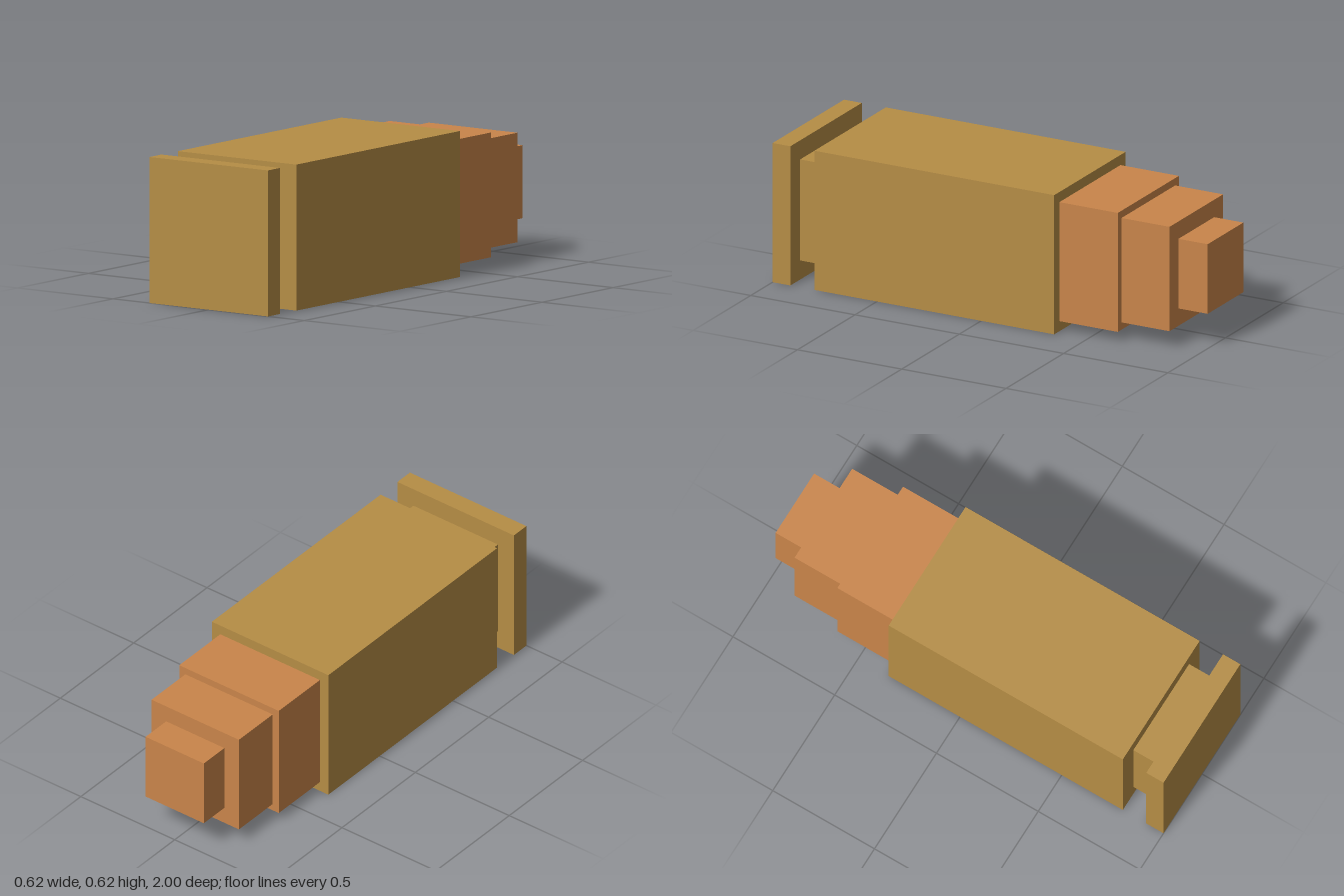
import * as THREE from 'three';

export function createModel() {
  const group = new THREE.Group();
  const brass = new THREE.MeshStandardMaterial({ color: 0xb58d45 });
  brass.name = 'brass';
  const copper = new THREE.MeshStandardMaterial({ color: 0xc9854a });
  copper.name = 'copper';

  // Square blocks along z: name, side, front z, back z, material
  const sections = [
    ['rim', 0.62, 1.0, 0.915, brass],
    ['groove', 0.45, 0.915, 0.8, brass],
    ['casing', 0.62, 0.8, -0.35, brass],
    ['tipBase', 0.53, -0.35, -0.63, copper],
    ['tipMiddle', 0.465, -0.63, -0.86, copper],
    ['tipEnd', 0.31, -0.86, -1.0, copper],
  ];
  for (const [name, side, front, back, material] of sections) {
    const mesh = new THREE.Mesh(new THREE.BoxGeometry(side, side, front - back), material);
    mesh.name = name;
    mesh.position.set(0, 0.31, (front + back) / 2);
    group.add(mesh);
  }
  return group;
}
